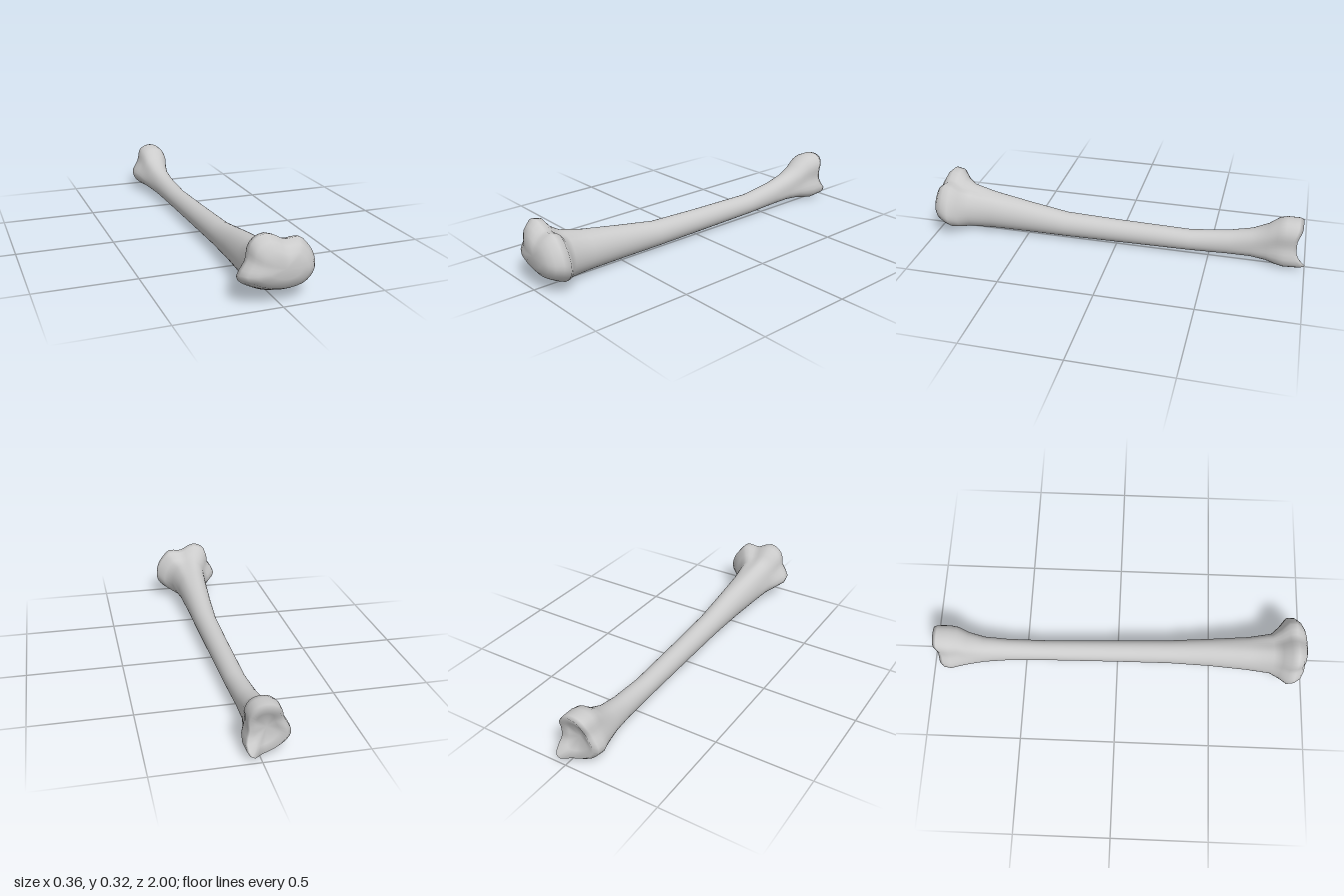
import * as THREE from 'three';

const SIDES = 40;

// Radius per direction of an outline, in a box scaled to -1..1
function polarOutline(points, [x0, x1, y0, y1]) {
  const curve = new THREE.CatmullRomCurve3(points.map(([x, y]) => new THREE.Vector3(
    (2 * x - x0 - x1) / (x1 - x0), (2 * y - y0 - y1) / (y1 - y0), 0)), true);
  const samples = curve.getPoints(800);
  return Array.from({ length: SIDES }, (_, j) => {
    const t = j / SIDES * Math.PI * 2, dx = Math.cos(t), dy = Math.sin(t);
    let best = -Infinity, radius = 1;
    for (const p of samples) {
      const aim = (p.x * dx + p.y * dy) / p.length();
      if (aim > best) { best = aim; radius = p.length(); }
    }
    return radius;
  });
}

// Two-lobed wide end
const wide = polarOutline([
  [0.18, 0.13], [0.17, 0.2], [0.135, 0.255], [0.095, 0.288], [0.03, 0.283], [-0.05, 0.32], [-0.1, 0.308],
  [-0.13, 0.275], [-0.142, 0.21], [-0.18, 0.13], [-0.1, 0.075], [0, 0.05], [0.07, 0.052], [0.13, 0.07],
], [-0.18, 0.18, 0.05, 0.32]);

// Narrow end: tall top knob and a pointed lower side
const narrow = polarOutline([
  [0.065, 0.05], [0.05, 0.12], [0.05, 0.2], [0.02, 0.245], [-0.04, 0.258], [-0.09, 0.235],
  [-0.115, 0.17], [-0.15, 0.09], [-0.11, 0.035], [-0.03, 0], [0.04, 0.01],
], [-0.15, 0.065, 0, 0.258]);

// z, x min, x max, y min, y max, share of wide outline, share of narrow outline
const SECTIONS = [
  [1.0, -0.06, 0.08, 0.125, 0.22, 1, 0],
  [0.988, -0.115, 0.125, 0.095, 0.255, 1, 0],
  [0.968, -0.155, 0.155, 0.07, 0.292, 1, 0],
  [0.935, -0.178, 0.176, 0.052, 0.32, 1, 0],
  [0.9, -0.18, 0.18, 0.037, 0.312, 1, 0],
  [0.865, -0.145, 0.138, 0.022, 0.268, 0.8, 0],
  [0.82, -0.115, 0.095, 0.011, 0.243, 0.4, 0],
  [0.7, -0.098, 0.075, 0.01, 0.215, 0.15, 0],
  [0.5, -0.08, 0.063, 0.01, 0.182, 0, 0],
  [0.28, -0.068, 0.054, 0.01, 0.146, 0, 0],
  [0, -0.069, 0.045, 0.01, 0.134, 0, 0],
  [-0.4, -0.074, 0.033, 0.01, 0.122, 0, 0],
  [-0.6, -0.086, 0.028, 0.013, 0.143, 0, 0.1],
  [-0.72, -0.102, 0.03, 0.014, 0.168, 0, 0.3],
  [-0.8, -0.122, 0.045, 0.01, 0.205, 0, 0.6],
  [-0.85, -0.138, 0.062, 0.005, 0.246, 0, 0.9],
  [-0.89, -0.15, 0.068, 0, 0.256, 0, 1],
  [-0.93, -0.145, 0.066, 0.004, 0.258, 0, 1],
  [-0.95, -0.125, 0.06, 0.015, 0.254, 0, 1],
  [-0.935, -0.09, 0.025, 0.05, 0.21, 0, 1],
];

function boneGeometry() {
  const positions = [], index = [];
  for (const [z, x0, x1, y0, y1, w, n] of SECTIONS) {
    for (let j = 0; j < SIDES; j++) {
      const t = j / SIDES * Math.PI * 2;
      const r = 1 - w - n + w * wide[j] + n * narrow[j];
      const x = (x0 + x1) / 2 + (x1 - x0) / 2 * r * Math.cos(t);
      const y = (y0 + y1) / 2 + (y1 - y0) / 2 * r * Math.sin(t);
      let reach = 0;
      // Joint rim of the narrow end: raised top lip and a small side spur
      if (z < -0.92) {
        reach = 0.022 * THREE.MathUtils.smoothstep(y, 0.16, 0.24)
          + 0.052 * Math.exp(-((x - 0.045) ** 2 + (y - 0.03) ** 2) / 0.0018);
      }
      positions.push(x, y, Math.max(z - reach, -1));
    }
  }
  // Skin between neighbouring sections
  const last = SECTIONS.length - 1;
  for (let i = 0; i < last; i++) {
    for (let j = 0; j < SIDES; j++) {
      const k = (j + 1) % SIDES;
      const a = i * SIDES + j, b = i * SIDES + k, c = a + SIDES, d = b + SIDES;
      index.push(a, c, b, b, c, d);
    }
  }
  // Closing fans: flat plateau at the front, hollow joint at the back
  const front = positions.length / 3, back = front + 1;
  positions.push(0.01, 0.172, 0.998, -0.035, 0.13, -0.922);
  for (let j = 0; j < SIDES; j++) {
    const k = (j + 1) % SIDES;
    index.push(front, j, k, back, last * SIDES + k, last * SIDES + j);
  }
  const geometry = new THREE.BufferGeometry();
  geometry.setAttribute('position', new THREE.Float32BufferAttribute(positions, 3));
  geometry.setIndex(index);
  geometry.computeVertexNormals();
  return geometry;
}

export function createModel() {
  const group = new THREE.Group();
  group.name = 'shinBone';
  const bone = new THREE.Mesh(boneGeometry(), new THREE.MeshStandardMaterial({ color: 0xcccccc }));
  bone.name = 'bone';
  group.add(bone);
  return group;
}
